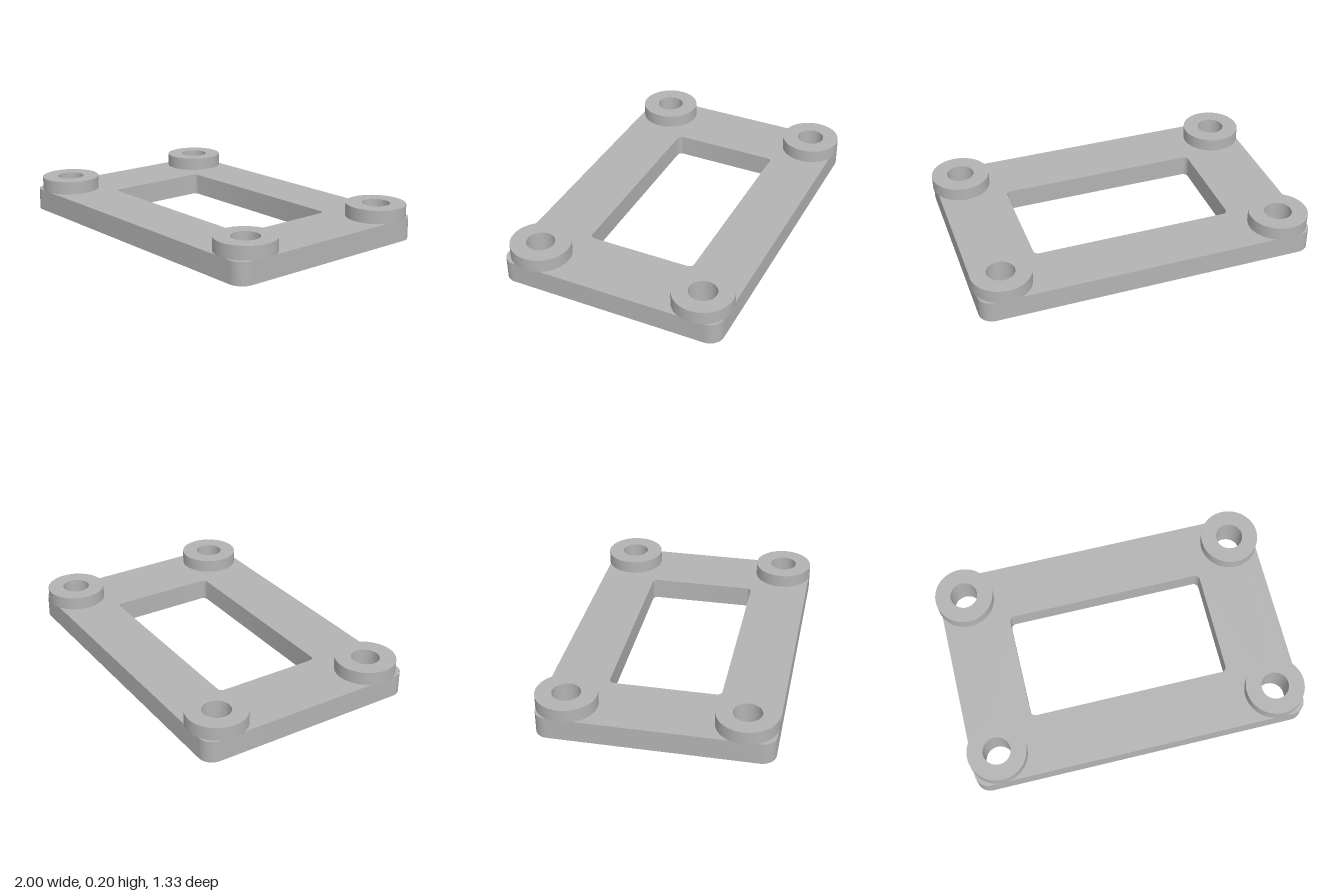
import * as THREE from 'three';
import { toCreasedNormals } from 'three/addons/utils/BufferGeometryUtils.js';

const PLATE_TOP = 0.128, BOSS_TOP = 0.205;
const BOSS_X = 0.828, BOSS_Z = 0.494, BOSS_R = 0.172, HOLE_R = 0.08;

// Rounded rectangle; shape y runs along -z once laid flat
function roundedRect(path, x0, y0, x1, y1, r) {
  path.absarc(x1 - r, y0 + r, r, -Math.PI / 2, 0);
  path.absarc(x1 - r, y1 - r, r, 0, Math.PI / 2);
  path.absarc(x0 + r, y1 - r, r, Math.PI / 2, Math.PI);
  path.absarc(x0 + r, y0 + r, r, Math.PI, Math.PI * 1.5);
  path.closePath();
  return path;
}

function circle(path, x, y, r) {
  path.absarc(x, y, r, 0, Math.PI * 2);
  return path;
}

// Extrude a shape upward from y = bottom to y = top
function slab(shape, bottom, top) {
  const geometry = new THREE.ExtrudeGeometry(shape, {
    depth: top - bottom, bevelEnabled: false, curveSegments: 32,
  });
  geometry.rotateX(-Math.PI / 2).translate(0, bottom, 0);
  return toCreasedNormals(geometry, Math.PI / 6);
}

export function createModel() {
  const group = new THREE.Group();
  group.name = 'mountingFrame';
  const grey = new THREE.MeshStandardMaterial({ color: 0xb3b3b3 });
  grey.name = 'grey';

  const corners = [];
  for (const x of [-BOSS_X, BOSS_X]) for (const z of [-BOSS_Z, BOSS_Z]) corners.push([x, z]);

  // Flat plate with central window and four screw holes
  const outline = roundedRect(new THREE.Shape(), -0.983, -0.664, 0.983, 0.65, 0.08);
  outline.holes.push(roundedRect(new THREE.Path(), -0.592, -0.317, 0.592, 0.321, 0.03));
  for (const [x, z] of corners) outline.holes.push(circle(new THREE.Path(), x, -z, HOLE_R));
  const plate = new THREE.Mesh(slab(outline, 0, PLATE_TOP), grey);
  plate.name = 'plate';
  group.add(plate);

  // Ring-shaped bosses around the screw holes
  const ring = circle(new THREE.Shape(), 0, 0, BOSS_R);
  ring.holes.push(circle(new THREE.Path(), 0, 0, HOLE_R));
  const ringGeometry = slab(ring, PLATE_TOP, BOSS_TOP);
  for (const [x, z] of corners) {
    const boss = new THREE.Mesh(ringGeometry, grey);
    boss.name = (z > 0 ? 'front' : 'back') + (x > 0 ? 'Left' : 'Right') + 'Boss';
    boss.position.set(x, 0, z);
    group.add(boss);
  }
  return group;
}
